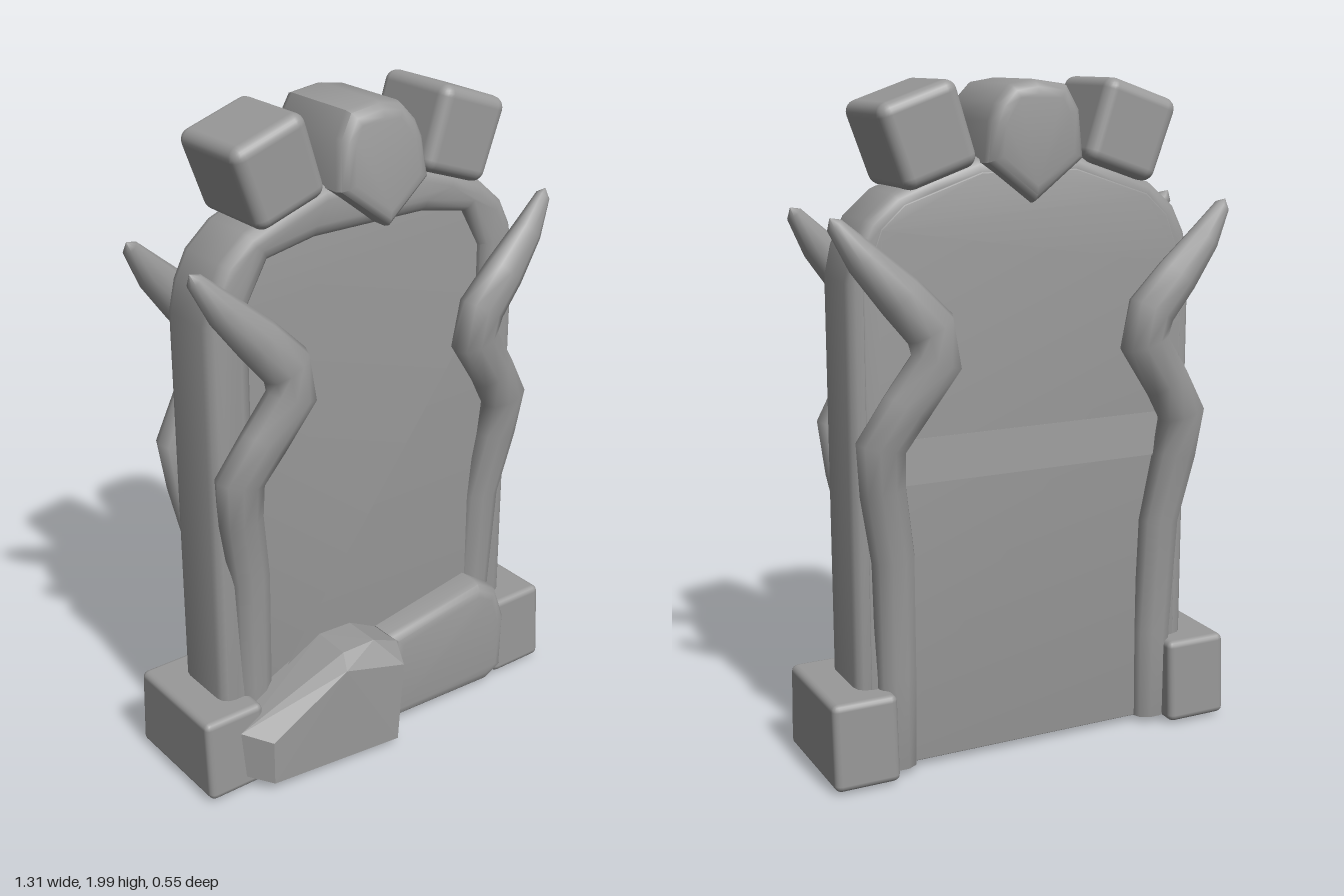
import * as THREE from 'three';
import { toCreasedNormals } from 'three/addons/utils/BufferGeometryUtils.js';
import { RoundedBoxGeometry } from 'three/addons/geometries/RoundedBoxGeometry.js';
import { ConvexGeometry } from 'three/addons/geometries/ConvexGeometry.js';

const stone = new THREE.MeshStandardMaterial({ color: 0x999999 });
stone.name = 'grey stone';

const toVectors = (pts) => pts.map(([x, y]) => new THREE.Vector2(x, y));

// Closed symmetric outline from its right half, listed bottom to top
const mirrored = (half) => toVectors([...half, ...half.map(([x, y]) => [-x, y]).reverse()]);

// Extrusion between two depths with rounded edges kept inside the outline
function slab(shape, z0, z1, bevel, crease = 0.65) {
  const geo = new THREE.ExtrudeGeometry(shape, {
    depth: z1 - z0 - 2 * bevel, bevelThickness: bevel,
    bevelSize: bevel, bevelOffset: -bevel, bevelSegments: 3,
  });
  geo.translate(0, 0, z0 + bevel);
  return toCreasedNormals(geo, crease);
}

// Move every vertex of a geometry by a rule
function reshape(geo, rule) {
  const p = geo.attributes.position, v = new THREE.Vector3();
  for (let i = 0; i < p.count; i++) {
    rule(v.fromBufferAttribute(p, i));
    p.setXYZ(i, v.x, v.y, v.z);
  }
  return geo;
}

// Tapering stem through rings [x, y, z, radius], flattened in depth
function stem(rings, sides = 10) {
  const pos = [], index = [];
  rings.forEach(([x, y, z, r], i) => {
    const a = rings[Math.max(i - 1, 0)], b = rings[Math.min(i + 1, rings.length - 1)];
    const t = new THREE.Vector2(b[0] - a[0], b[1] - a[1]).normalize();
    for (let j = 0; j < sides; j++) {
      const angle = (j / sides) * Math.PI * 2, c = Math.cos(angle) * r;
      pos.push(x + t.y * c, y - t.x * c, z + Math.sin(angle) * r * 0.78);
      if (i === rings.length - 1) continue;
      const p = i * sides + j, q = i * sides + (j + 1) % sides;
      index.push(p, p + sides, q, q, p + sides, q + sides);
    }
  });
  const geo = new THREE.BufferGeometry();
  geo.setAttribute('position', new THREE.Float32BufferAttribute(pos, 3));
  geo.setIndex(index);
  geo.computeVertexNormals();
  return geo;
}

export function createModel() {
  const model = new THREE.Group();
  model.name = 'stoneDoorway';
  const add = (name, geo) => {
    const mesh = new THREE.Mesh(geo, stone);
    mesh.name = name;
    model.add(mesh);
    return mesh;
  };

  // Arched frame with rounded edges
  const frame = new THREE.Shape(mirrored([
    [0.55, 0.02], [0.55, 1.45], [0.53, 1.54], [0.49, 1.62], [0.41, 1.69], [0.30, 1.735], [0.16, 1.78],
  ]));
  frame.holes.push(new THREE.Path(mirrored([
    [0.41, 0.1], [0.41, 1.49], [0.345, 1.605], [0.19, 1.635],
  ])));
  add('archFrame', slab(frame, -0.13, 0.1, 0.04));

  // Door panel, sunk at the front and flush at the back
  const panel = new THREE.Shape(mirrored([
    [0.51, 0.02], [0.51, 1.45], [0.455, 1.595], [0.385, 1.66], [0.15, 1.74],
  ]));
  add('doorPanel', slab(panel, -0.132, 0.07, 0.004));

  // Sloping ledge across the back
  const ledge = new THREE.Shape(toVectors([[-0.12, 1.0], [-0.133, 1.0], [-0.145, 0.87], [-0.12, 0.87]]));
  const ledgeGeo = new THREE.ExtrudeGeometry(ledge, { depth: 0.96, bevelEnabled: false });
  add('backLedge', ledgeGeo.translate(0, 0, -0.48).rotateY(-Math.PI / 2));

  // Keystone: pointed below, leaning back at the top
  const keyShape = new THREE.Shape(toVectors([
    [0, 1.65], [0.15, 1.765], [0.14, 1.88], [0.12, 1.93], [0.075, 1.98],
    [0, 1.992], [-0.1, 1.978], [-0.14, 1.91], [-0.155, 1.77],
  ]));
  const keyGeo = reshape(slab(keyShape, -0.183, 0.188, 0.04), (v) => {
    if (v.z > 0) v.z -= (v.y - 1.65) * 0.14;
  });
  add('keystone', toCreasedNormals(keyGeo, 0.8));

  // Foot block, narrower in depth toward its top
  const footGeo = reshape(new RoundedBoxGeometry(0.2, 0.26, 0.4, 2, 0.02), (v) => {
    v.z *= 0.96 - v.y * 0.3;
  });

  // Cap stone, slightly wider at its outer end
  const capGeo = reshape(new RoundedBoxGeometry(0.24, 0.25, 0.288, 3, 0.035), (v) => {
    v.x *= 1 + v.y * 0.2;
  });

  for (const side of [1, -1]) {
    const label = side > 0 ? 'left' : 'right';

    // Tilted cap stones beside the keystone
    const cap = add(label + 'CapStone', capGeo);
    cap.position.set(side * 0.317, 1.845, -0.022);
    cap.rotation.z = side * -0.33;

    add(label + 'FootBlock', footGeo).position.set(side * 0.555, 0.14, -0.018);

    // Crooked stems climbing the front and the back
    const path = [
      [0.43, 0.02, 0.07, 0], [0.43, 0.02, 0.07, 0.06], [0.43, 0.3, 0.07, 0.063],
      [0.44, 0.66, 0.085, 0.066], [0.477, 0.87, 0.11, 0.07], [0.488, 1.0, 0.128, 0.076],
      [0.42, 1.11, 0.148, 0.074], [0.333, 1.235, 0.163, 0.078], [0.352, 1.33, 0.167, 0.076],
      [0.44, 1.425, 0.163, 0.068], [0.54, 1.53, 0.15, 0.05], [0.61, 1.62, 0.135, 0.025], [0.622, 1.64, 0.132, 0],
    ];
    add(label + 'FrontStem', stem(path.map(([x, y, z, r]) => [side * x, y, z, r])));
    add(label + 'BackStem', stem(path.map(([x, y, z, r]) => [side * x, y, -z - 0.055, r])));
  }

  // Angular boulder at the foot of the door
  const rock = [
    [-0.47, 0.175, 0.24], [-0.47, 0.03, 0.24], [-0.22, 0.34, 0.265], [-0.01, 0.285, 0.275], [-0.03, 0.02, 0.275],
    [-0.54, 0.2, 0.17], [-0.54, 0.05, 0.17], [-0.2, 0.375, 0.22], [-0.085, 0.375, 0.22], [0.02, 0.32, 0.2],
    [0, 0.02, 0.2], [-0.54, 0.2, 0.08], [-0.2, 0.38, 0.1], [-0.085, 0.375, 0.1], [0.02, 0.32, 0.06],
    [-0.47, 0, 0.16], [-0.47, 0, 0], [0, 0.01, 0],
  ];
  add('angularBoulder', new ConvexGeometry(rock.map((p) => new THREE.Vector3(...p))));

  // Smoother boulder beside it
  const smooth = new THREE.Shape(toVectors([
    [-0.01, 0.02], [0.41, 0.005], [0.48, 0.04], [0.485, 0.23], [0.445, 0.345], [0.37, 0.39], [0.015, 0.325],
  ]));
  add('smoothBoulder', slab(smooth, 0, 0.2, 0.04, 0.8));

  return model;
}
